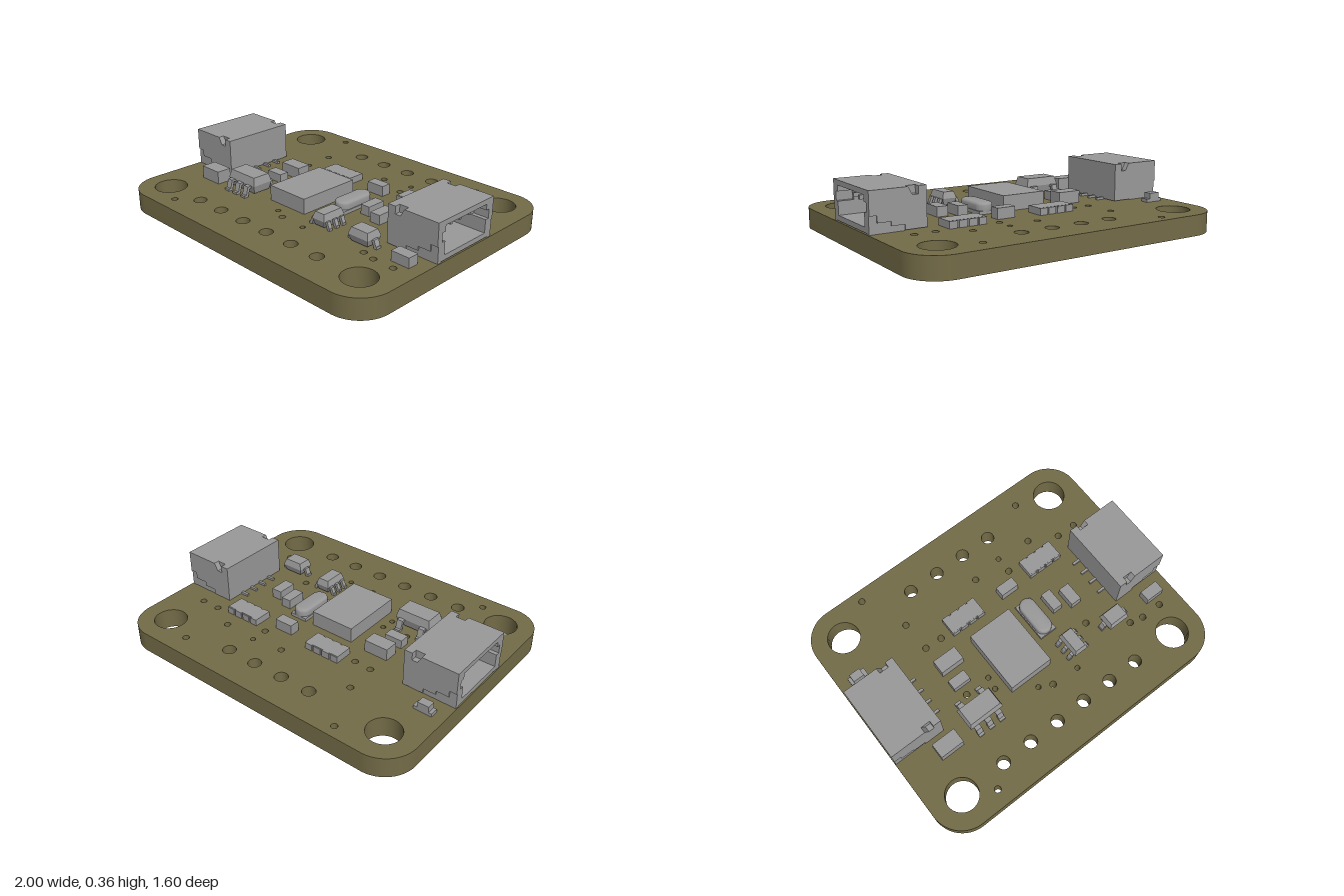
import * as THREE from 'three';
import { toCreasedNormals } from 'three/addons/utils/BufferGeometryUtils.js';

const TOP = 0.125; // upper face of the board
const boardMat = new THREE.MeshStandardMaterial({ name: 'olive board', color: 0x736b47 });
const partMat = new THREE.MeshStandardMaterial({ name: 'component grey', color: 0x999999 });

function add(parent, name, geo, mat = partMat) {
  const mesh = new THREE.Mesh(geo, mat);
  mesh.name = name;
  parent.add(mesh);
  return mesh;
}

// Box given by its limits on each axis
function block(parent, name, x0, x1, y0, y1, z0, z1) {
  const geo = new THREE.BoxGeometry(x1 - x0, y1 - y0, z1 - z0);
  geo.translate((x0 + x1) / 2, (y0 + y1) / 2, (z0 + z1) / 2);
  return add(parent, name, geo);
}

// Outline in x,y extruded from z0 to z1
function profile(parent, name, points, z0, z1) {
  const shape = new THREE.Shape(points.map(([x, y]) => new THREE.Vector2(x, y)));
  const geo = new THREE.ExtrudeGeometry(shape, { depth: z1 - z0, bevelEnabled: false });
  return add(parent, name, geo.translate(0, 0, z0));
}

// Moulded package: widest at its waist, drawn in at top and bottom
function moulded(parent, name, x0, x1, y0, y1, z0, z1) {
  const w = x1 - x0, h = y1 - y0, d = z1 - z0, inset = 0.012;
  const geo = new THREE.BoxGeometry(w, h, d, 1, 2, 1);
  const p = geo.attributes.position;
  for (let i = 0; i < p.count; i++) {
    if (Math.abs(p.getY(i)) < 1e-4) continue;
    p.setX(i, p.getX(i) - Math.sign(p.getX(i)) * inset);
    p.setZ(i, p.getZ(i) - Math.sign(p.getZ(i)) * inset);
  }
  geo.translate((x0 + x1) / 2, (y0 + y1) / 2, (z0 + z1) / 2);
  return add(parent, name, toCreasedNormals(geo, 0.2));
}

// Gull-wing lead leaving a package at (x, z) in the direction of angle
function lead(parent, x, z, angle, reach, width, height) {
  const t = 0.014, k = reach * 0.5;
  const mesh = profile(parent, 'lead', [
    [-0.02, height - t], [k - t, height - t], [k, 0], [reach, 0],
    [reach, t], [k + t, t], [k, height], [-0.02, height],
  ], -width / 2, width / 2);
  mesh.position.set(x, TOP, z);
  mesh.rotation.y = angle;
}

function makeBoard(root) {
  const w = 1, d = 0.8, r = 0.2;
  const s = new THREE.Shape();
  s.moveTo(-w + r, -d);
  s.lineTo(w - r, -d);
  s.absarc(w - r, -d + r, r, -Math.PI / 2, 0, false);
  s.absarc(w - r, d - r, r, 0, Math.PI / 2, false);
  s.absarc(-w + r, d - r, r, Math.PI / 2, Math.PI, false);
  s.absarc(-w + r, -d + r, r, Math.PI, Math.PI * 1.5, false);
  const hole = (x, z, radius) => {
    const h = new THREE.Path();
    h.absarc(x, -z, radius, 0, Math.PI * 2, true);
    s.holes.push(h);
  };
  // Mounting holes and the two header rows
  for (const x of [-0.8, 0.8]) for (const z of [-0.6, 0.6]) hole(x, z, 0.1);
  for (const x of [-0.3, -0.1, 0.1, 0.3]) hole(x, -0.6, 0.04);
  for (const x of [-0.5, -0.3, -0.1, 0.1, 0.3, 0.5]) hole(x, 0.6, 0.04);
  // Vias
  [[-0.58, -0.73], [0.585, -0.675], [-0.455, -0.435], [0.065, -0.415], [0.49, -0.425],
    [0.265, -0.335], [0.665, -0.335], [0.79, -0.335], [-0.445, -0.24], [-0.335, -0.235],
    [-0.425, 0.145], [0.425, 0.23], [0.02, 0.41], [0.64, 0.395], [0.725, 0.415],
    [0.86, 0.415], [-0.62, 0.7]].forEach(([x, z]) => hole(x, z, 0.02));
  [[0.265, -0.44], [-0.26, 0.14], [-0.27, 0.22], [-0.06, 0.37], [0.2, 0.42]]
    .forEach(([x, z]) => hole(x, z, 0.016));
  const geo = new THREE.ExtrudeGeometry(s, { depth: TOP, bevelEnabled: false, curveSegments: 16 });
  geo.rotateX(-Math.PI / 2);
  add(root, 'circuitBoard', toCreasedNormals(geo, 0.6), boardMat);
}

// Side-entry socket, open towards +x
function makeConnector(root, name, angle) {
  const g = new THREE.Group();
  g.name = name;
  g.rotation.y = angle;
  root.add(g);
  block(g, 'socketRoof', 0.66, 0.995, 0.33, 0.36, -0.2, 0.2);
  block(g, 'socketFloor', 0.66, 0.995, 0.13, 0.16, -0.2, 0.2);
  block(g, 'socketBack', 0.66, 0.71, 0.16, 0.33, -0.2, 0.2);
  const cheek = [
    [0.66, 0.13], [0.79, 0.13], [0.79, 0.16], [0.87, 0.16], [0.87, 0.185], [0.95, 0.185],
    [0.95, 0.225], [0.995, 0.225], [0.995, 0.36], [0.77, 0.36], [0.745, 0.315],
    [0.71, 0.315], [0.71, 0.36], [0.66, 0.36],
  ];
  const tab = [
    [0.79, 0.125], [0.995, 0.125], [0.995, 0.225], [0.95, 0.225], [0.95, 0.185],
    [0.87, 0.185], [0.87, 0.16], [0.79, 0.16],
  ];
  for (const side of [-1, 1]) {
    const span = (a, b) => (side > 0 ? [a, b] : [-b, -a]);
    // Inner wall with a keyway near the mouth
    block(g, 'innerWall', 0.71, 0.995, 0.16, 0.24, ...span(0.175, 0.2));
    block(g, 'innerWall', 0.71, 0.995, 0.295, 0.33, ...span(0.175, 0.2));
    block(g, 'innerWall', 0.71, 0.9, 0.24, 0.295, ...span(0.175, 0.2));
    profile(g, 'outerWall', cheek, ...span(0.2, 0.235));
    profile(g, 'solderTab', tab, ...span(0.2, 0.228));
  }
  for (const z of [-0.12, -0.04, 0.04, 0.12]) {
    block(g, 'contactPin', 0.7, 0.93, 0.265, 0.29, z - 0.008, z + 0.008);
    block(g, 'contactTail', 0.61, 0.67, 0.125, 0.14, z - 0.008, z + 0.008);
  }
}

function makePackages(root) {
  // Main chip
  block(root, 'mainChip', -0.205, 0.085, TOP, 0.22, -0.105, 0.3);

  // Crystal: flat base under a rounded can
  const crystal = new THREE.Group();
  crystal.name = 'crystal';
  root.add(crystal);
  block(crystal, 'crystalBase', 0.14, 0.255, TOP, 0.145, -0.11, 0.145);
  const can = new THREE.Shape();
  can.absarc(0, 0.075, 0.036, 0, Math.PI, false);
  can.absarc(0, -0.075, 0.036, Math.PI, Math.PI * 2, false);
  const canGeo = new THREE.ExtrudeGeometry(can, {
    depth: 0.03, bevelThickness: 0.016, bevelSize: 0.016, bevelSegments: 4, curveSegments: 12,
  });
  canGeo.rotateX(-Math.PI / 2).translate(0.198, 0.146, 0.015);
  add(crystal, 'crystalCan', toCreasedNormals(canGeo, 0.7));

  // Five-lead regulator
  const reg = new THREE.Group();
  reg.name = 'regulator';
  root.add(reg);
  moulded(reg, 'regulatorBody', -0.54, -0.305, 0.14, 0.24, 0.205, 0.345);
  for (const x of [-0.5, -0.425, -0.35]) lead(reg, x, 0.34, -Math.PI / 2, 0.06, 0.038, 0.065);
  for (const x of [-0.5, -0.35]) lead(reg, x, 0.21, Math.PI / 2, 0.06, 0.038, 0.065);

  // Six-lead transistor pair
  const pair = new THREE.Group();
  pair.name = 'transistorPair';
  root.add(pair);
  moulded(pair, 'transistorBody', 0.222, 0.317, 0.135, 0.215, 0.208, 0.367);
  for (const z of [0.235, 0.288, 0.341]) {
    lead(pair, 0.312, z, 0, 0.033, 0.025, 0.05);
    lead(pair, 0.227, z, Math.PI, 0.042, 0.025, 0.05);
  }

  // Diode
  const diode = new THREE.Group();
  diode.name = 'diode';
  root.add(diode);
  moulded(diode, 'diodeBody', 0.498, 0.64, 0.135, 0.215, 0.26, 0.367);
  lead(diode, 0.635, 0.313, 0, 0.035, 0.035, 0.05);
  lead(diode, 0.503, 0.313, Math.PI, 0.038, 0.035, 0.05);

  // Indicator lamp with its end terminals
  const lamp = new THREE.Group();
  lamp.name = 'indicatorLamp';
  root.add(lamp);
  block(lamp, 'lampBase', -0.93, -0.815, TOP, 0.145, -0.363, -0.312);
  block(lamp, 'lampLens', -0.91, -0.84, 0.145, 0.18, -0.363, -0.312);
}

function makeChips(root) {
  // x0, x1, z0, z1, top
  [[-0.77, -0.615, 0.28, 0.375, 0.205], [0.8, 0.92, 0.295, 0.365, 0.185],
    [-0.47, -0.315, -0.12, -0.03, 0.2], [-0.47, -0.355, 0.025, 0.09, 0.18],
    [0.115, 0.235, -0.27, -0.205, 0.19], [0.305, 0.37, -0.065, 0.06, 0.185],
    [0.415, 0.485, -0.025, 0.1, 0.185]]
    .forEach(([x0, x1, z0, z1, y]) => block(root, 'chipComponent', x0, x1, TOP, y, z0, z1));

  // Resistor arrays: a flat body with four terminals on each long edge
  for (const [x, z] of [[-0.148, -0.255], [0.46, -0.27]]) {
    const g = new THREE.Group();
    g.name = 'resistorArray';
    root.add(g);
    block(g, 'arrayBody', x - 0.118, x + 0.118, TOP, 0.167, z - 0.052, z + 0.052);
    for (const i of [-1.5, -0.5, 0.5, 1.5]) {
      const c = x + i * 0.062;
      block(g, 'arrayTerminal', c - 0.025, c + 0.025, TOP, 0.166, z - 0.06, z + 0.06);
    }
  }
}

export function createModel() {
  const root = new THREE.Group();
  root.name = 'circuitBoardModule';
  makeBoard(root);
  makeConnector(root, 'leftConnector', 0);
  makeConnector(root, 'rightConnector', Math.PI);
  makePackages(root);
  makeChips(root);
  return root;
}
